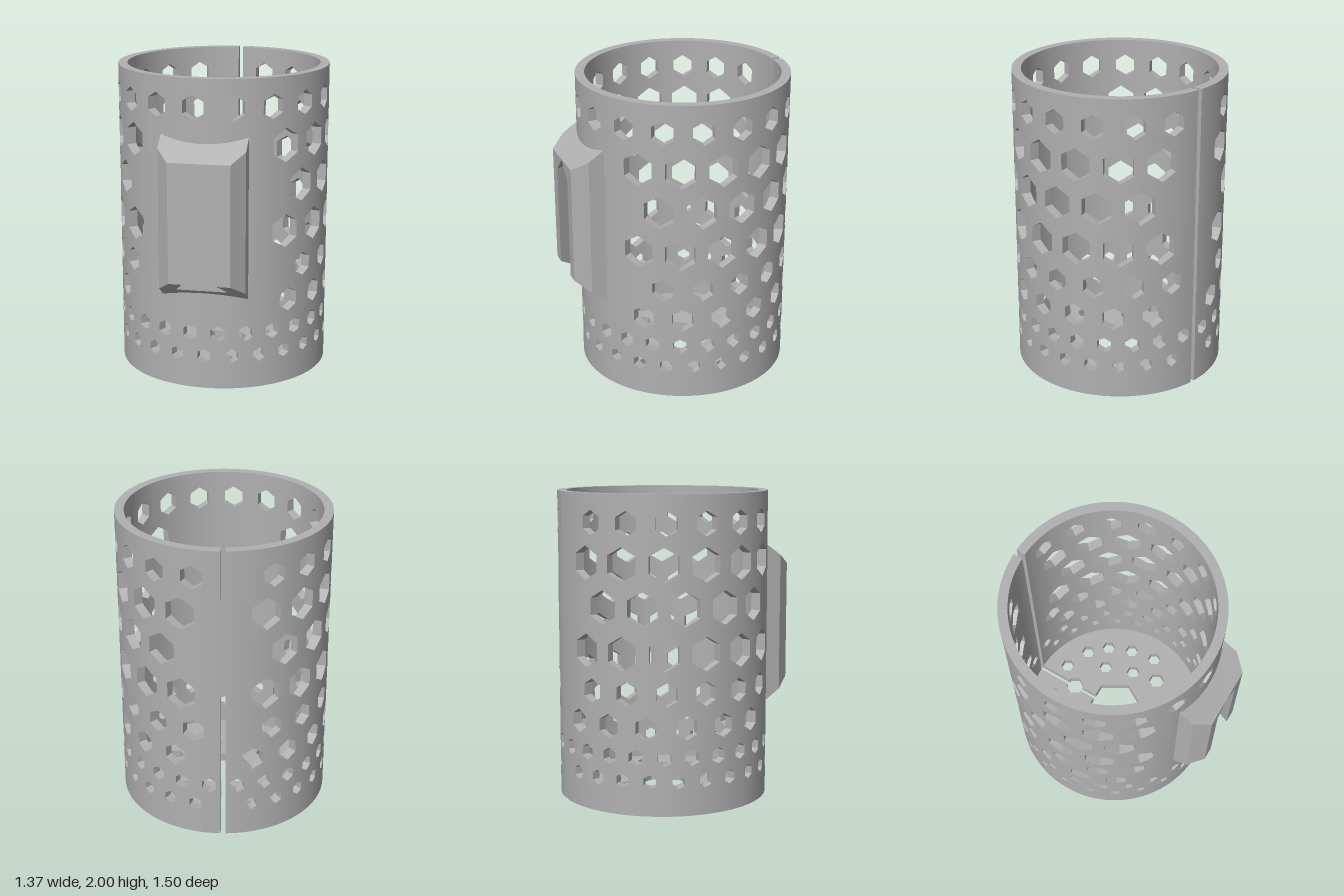
import * as THREE from 'three';

const R_OUT = 0.685, R_IN = 0.625, H = 2, Z_AXIS = -0.067, SLOT = 0.016, FLOOR = 0.06;
const RAD = Math.PI / 180;

// Rows of hexagonal holes: height, radius, count, angle of one hole, whether the mount interrupts it
const ROWS = [
  { y: 0.22, r: 0.046, n: 24, start: 0 },
  { y: 0.37, r: 0.052, n: 24, start: 7.5 },
  { y: 0.56, r: 0.077, n: 17, start: 90, mount: true },
  { y: 0.77, r: 0.077, n: 17, start: -90, mount: true },
  { y: 1.02, r: 0.108, n: 16, start: 0, mount: true },
  { y: 1.30, r: 0.108, n: 16, start: 11.25, mount: true },
  { y: 1.57, r: 0.108, n: 16, start: 0, mount: true },
  { y: 1.82, r: 0.078, n: 17, start: -90 },
];

// Floor holes: x, z, radius
const FLOOR_HOLES = [
  [-0.147, -0.518, 0.056], [0.108, -0.538, 0.047], [0.277, -0.462, 0.047], [-0.247, -0.333, 0.056],
  [-0.41, -0.325, 0.047], [0.385, -0.347, 0.047], [0.24, -0.287, 0.047], [0.45, -0.185, 0.047],
  [-0.426, -0.147, 0.056], [0.308, -0.092, 0.047], [0.478, -0.008, 0.047], [-0.464, 0.06, 0.047],
  [0.339, 0.092, 0.056], [-0.287, 0.123, 0.064], [0.068, 0.24, 0.053], [0.263, 0.27, 0.077],
  [-0.271, 0.307, 0.047], [-0.094, 0.355, 0.071], [0.098, 0.402, 0.047],
];

const onWall = (t, r, y) => [r * Math.sin(t), y, Z_AXIS + r * Math.cos(t)];

// Collects convex polygons into a flat-faced geometry
function faceSet() {
  const pos = [];
  return {
    add(...p) {
      for (let i = 1; i < p.length - 1; i++) pos.push(...p[0], ...p[i], ...p[i + 1]);
    },
    build() {
      const g = new THREE.BufferGeometry();
      g.setAttribute('position', new THREE.Float32BufferAttribute(pos, 3));
      g.computeVertexNormals();
      return g;
    },
  };
}

// Gives a cylindrical skin smooth radial normals
function radialNormals(g, sign) {
  const p = g.attributes.position, n = g.attributes.normal;
  for (let i = 0; i < p.count; i++) {
    const x = p.getX(i), z = p.getZ(i) - Z_AXIS, l = sign / Math.hypot(x, z);
    n.setXYZ(i, x * l, 0, z * l);
  }
  return g;
}

// Perforated tube: shared angular columns, each hole cut between two levels of its row
function buildWall() {
  const first = -Math.PI + Math.asin(SLOT / R_OUT), last = -first;
  const cuts = [first, last];
  for (let d = -177; d <= 177; d += 3) cuts.push(d * RAD);

  const rows = ROWS.map((row) => {
    const w = Math.asin((row.r * Math.sqrt(3)) / 2 / R_OUT), holes = [];
    for (let k = 0; k < row.n; k++) {
      const deg = THREE.MathUtils.euclideanModulo(row.start + (k * 360) / row.n + 180, 360) - 180;
      const c = deg * RAD;
      if (row.mount && Math.abs(deg) < 42) continue;
      if (R_OUT * (Math.PI - Math.abs(c)) < 1.5 * row.r) continue;
      holes.push(c);
      cuts.push(c - w, c, c + w);
    }
    return { ...row, w, holes };
  });
  cuts.sort((a, b) => a - b);
  const cols = cuts.filter((t, i) => i === 0 || t - cuts[i - 1] > 1e-6);

  const outer = faceSet(), inner = faceSet(), edges = faceSet();
  const P = onWall;
  const skin = (a, b, la, lb, ha, hb) => {
    outer.add(P(a, R_OUT, la), P(b, R_OUT, lb), P(b, R_OUT, hb), P(a, R_OUT, ha));
    inner.add(P(a, R_IN, ha), P(b, R_IN, hb), P(b, R_IN, lb), P(a, R_IN, la));
  };
  const up = (a, b, ya, yb) =>
    edges.add(P(a, R_OUT, ya), P(b, R_OUT, yb), P(b, R_IN, yb), P(a, R_IN, ya));
  const down = (a, b, ya, yb) =>
    edges.add(P(a, R_IN, ya), P(b, R_IN, yb), P(b, R_OUT, yb), P(a, R_OUT, ya));
  const sidePlus = (t, lo, hi) =>
    edges.add(P(t, R_IN, lo), P(t, R_IN, hi), P(t, R_OUT, hi), P(t, R_OUT, lo));
  const sideMinus = (t, lo, hi) =>
    edges.add(P(t, R_OUT, lo), P(t, R_OUT, hi), P(t, R_IN, hi), P(t, R_IN, lo));

  for (let i = 0; i < cols.length - 1; i++) {
    const a = cols[i], b = cols[i + 1], mid = (a + b) / 2;
    let ya = 0, yb = 0;
    for (const { y, r, w, holes } of rows) {
      const c = holes.find((h) => Math.abs(h - mid) < w);
      const half = (t) => (c === undefined ? r / 2 : r * (1 - Math.min(1, Math.abs(t - c) / w) / 2));
      const ha = half(a), hb = half(b);
      skin(a, b, ya, yb, y - ha, y - hb);
      if (c === undefined) {
        skin(a, b, y - ha, y - hb, y + ha, y + hb);
      } else {
        up(a, b, y - ha, y - hb);
        down(a, b, y + ha, y + hb);
        if (Math.abs(a - c + w) < 1e-5) sidePlus(a, y - ha, y + ha);
        if (Math.abs(b - c - w) < 1e-5) sideMinus(b, y - hb, y + hb);
      }
      ya = y + ha;
      yb = y + hb;
    }
    skin(a, b, ya, yb, H, H);
    up(a, b, H, H);
    down(a, b, 0, 0);
  }
  sidePlus(last, 0, H);
  sideMinus(first, 0, H);
  return {
    outerWall: radialNormals(outer.build(), 1),
    innerWall: radialNormals(inner.build(), -1),
    wallEdges: edges.build(),
  };
}

// Round floor with a slot running through a small hexagon into the central one
function buildFloor() {
  const pts = [], gap = Math.asin(SLOT / R_IN), N = 120;
  for (let i = 0; i <= N; i++) {
    const a = Math.PI / 2 + gap + ((2 * Math.PI - 2 * gap) * i) / N;
    pts.push([R_IN * Math.cos(a), R_IN * Math.sin(a)]);
  }
  const right = [[SLOT, 0.398], [0.032, 0.398], [0.064, 0.343], [0.032, 0.288], [SLOT, 0.288],
    [SLOT, 0.174], [0.1, 0.174], [0.2, 0], [0.1, -0.174]];
  pts.push(...right, ...right.map(([x, y]) => [-x, y]).reverse());
  const shape = new THREE.Shape(pts.map(([x, y]) => new THREE.Vector2(x, y)));
  for (const [x, z, r] of FLOOR_HOLES) {
    const hex = [];
    for (let k = 0; k < 6; k++) {
      const a = (-k * Math.PI) / 3;
      hex.push(new THREE.Vector2(x + r * Math.cos(a), Z_AXIS - z + r * Math.sin(a)));
    }
    shape.holes.push(new THREE.Path(hex));
  }
  const g = new THREE.ExtrudeGeometry(shape, { depth: FLOOR, bevelEnabled: false });
  return g.rotateX(-Math.PI / 2).translate(0, 0, Z_AXIS);
}

// Chamfered mounting block with an undercut groove open at the bottom; half is listed and mirrored
function buildMount() {
  const B = 0.56, M = 0.66, F = 0.752;
  const half = [
    [[0.275, 0.6, B], [0.275, 1.64, B], [0.275, 1.57, M], [0.275, 0.67, M]], // side
    [[0.275, 0.67, M], [0.275, 1.57, M], [0.195, 1.505, F], [0.195, 0.735, F]], // side chamfer
    [[0, 1.505, F], [0.195, 1.505, F], [0.275, 1.57, M], [0.275, 1.64, B], [0, 1.64, B]], // top slope
    [[0, 0.6, B], [0.275, 0.6, B], [0.275, 0.67, M], [0, 0.67, M]], // bottom slope
    [[0.165, 0.67, M], [0.275, 0.67, M], [0.195, 0.735, F], [0.11, 0.735, F]],
    [[0.11, 0.735, F], [0.195, 0.735, F], [0.195, 1.4, F], [0.11, 1.4, F]], // front
    [[0.11, 1.4, F], [0.195, 1.4, F], [0.195, 1.505, F], [0, 1.505, F], [0, 1.5, F]],
    [[0.165, 0.67, M], [0.11, 0.735, F], [0.11, 1.4, F], [0.165, 1.39, M]], // groove wall
    [[0.165, 1.39, M], [0.11, 1.4, F], [0, 1.5, F], [0, 1.54, M]], // groove roof
    [[0, 0.67, M], [0.165, 0.67, M], [0.165, 1.39, M], [0, 1.54, M]], // groove floor
  ];
  const set = faceSet();
  for (const poly of half) {
    set.add(...poly);
    set.add(...poly.map(([x, y, z]) => [-x, y, z]).reverse());
  }
  return set.build();
}

export function createModel() {
  const gray = new THREE.MeshStandardMaterial({ color: 0xb0b0b0 });
  gray.name = 'gray';
  const model = new THREE.Group();
  model.name = 'perforatedHolder';
  const parts = { ...buildWall(), floor: buildFloor(), mountBlock: buildMount() };
  for (const [name, geometry] of Object.entries(parts)) {
    const mesh = new THREE.Mesh(geometry, gray);
    mesh.name = name;
    model.add(mesh);
  }
  return model;
}
